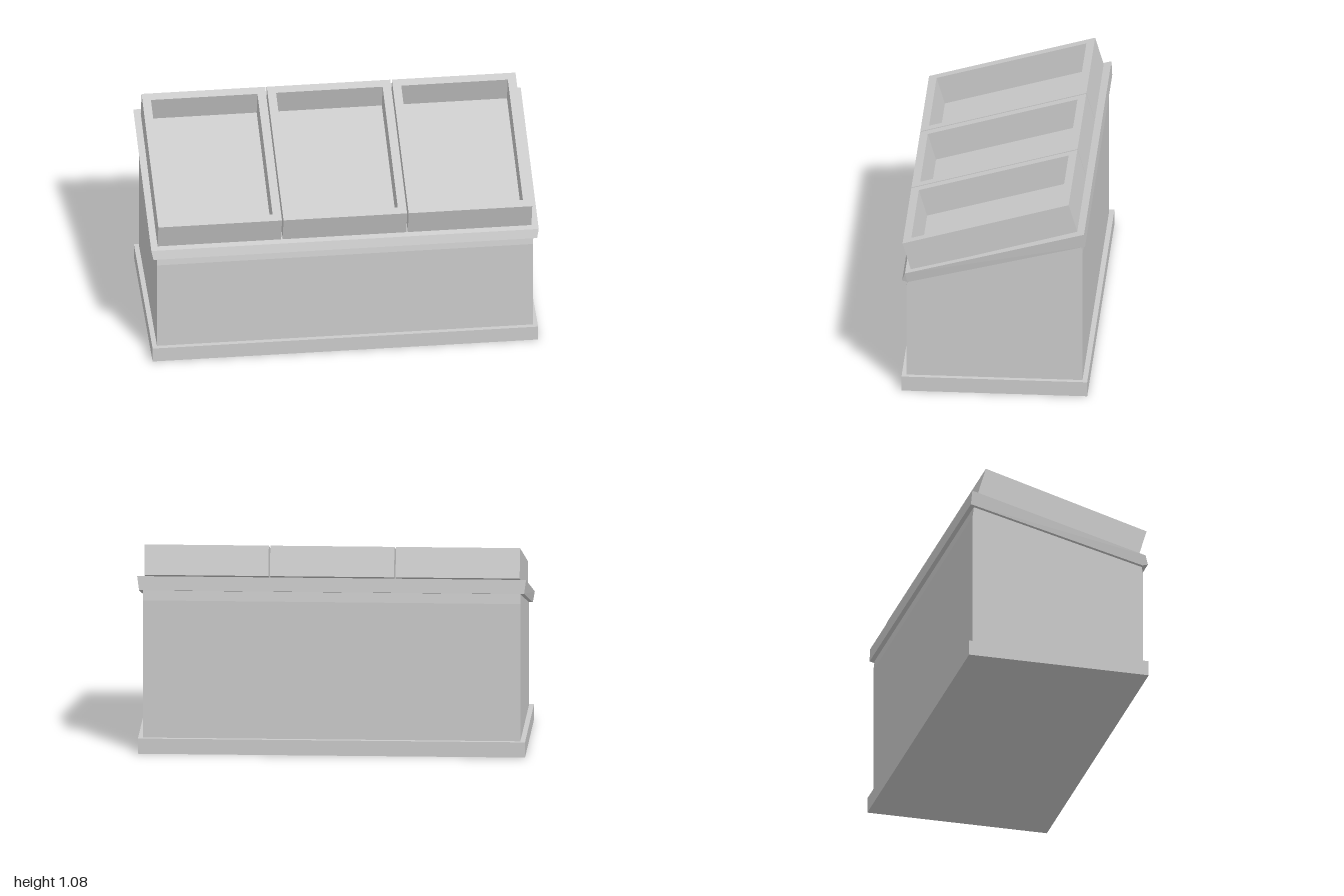
import * as THREE from 'three';

const material = new THREE.MeshStandardMaterial({ color: 0xcccccc, flatShading: true });

function addMesh(parent, name, geometry) {
  const mesh = new THREE.Mesh(geometry, material);
  mesh.name = name;
  parent.add(mesh);
  return mesh;
}

// Extrudes a side profile of [z, y] points along x, centred on x = 0
function sideProfile(points, width) {
  const shape = new THREE.Shape(points.map(([z, y]) => new THREE.Vector2(-z, y)));
  const geometry = new THREE.ExtrudeGeometry(shape, { depth: width, bevelEnabled: false });
  return geometry.translate(0, 0, -width / 2).rotateY(Math.PI / 2);
}

// Open tray: a hollow wall frame with a thin floor, bottom at y = 0
function createTray(width, height, length, wall) {
  const tray = new THREE.Group();
  const rect = (Type, w, l) => new Type([
    new THREE.Vector2(-w / 2, -l / 2), new THREE.Vector2(w / 2, -l / 2),
    new THREE.Vector2(w / 2, l / 2), new THREE.Vector2(-w / 2, l / 2),
  ]);
  const frame = rect(THREE.Shape, width, length);
  frame.holes.push(rect(THREE.Path, width - 2 * wall, length - 2 * wall));
  const walls = new THREE.ExtrudeGeometry(frame, { depth: height, bevelEnabled: false });
  addMesh(tray, 'trayWalls', walls.rotateX(-Math.PI / 2));
  const floor = new THREE.BoxGeometry(width - 2 * wall, 0.006, length - 2 * wall);
  addMesh(tray, 'trayFloor', floor.translate(0, 0.003, 0));
  return tray;
}

export function createModel() {
  const model = new THREE.Group();
  model.name = 'displayStand';

  // Plinth
  addMesh(model, 'plinth', new THREE.BoxGeometry(1.99, 0.08, 0.956).translate(0, 0.04, 0));

  // Cabinet body with sloping top and small chamfers under the counter
  addMesh(model, 'body', sideProfile([
    [0.455, 0.08], [0.455, 0.58], [0.447, 0.625],
    [-0.445, 0.86], [-0.452, 0.8], [-0.452, 0.08],
  ], 1.94));

  // Sloping counter slab, slightly narrower along its lower edge
  const counter = sideProfile([
    [0.46, 0.675], [0.475, 0.629], [0.447, 0.621], [-0.467, 0.856], [-0.462, 0.929],
  ], 2);
  const pos = counter.attributes.position;
  for (let i = 0; i < pos.count; i++) {
    const topY = 0.675 + (0.46 - pos.getZ(i)) * 0.2755;
    if (pos.getY(i) < topY - 0.02) pos.setX(i, pos.getX(i) * 0.99);
  }
  counter.computeVertexNormals();
  addMesh(model, 'counter', counter);

  // Three trays resting on the slope
  const trays = new THREE.Group();
  trays.name = 'trays';
  for (const i of [-1, 0, 1]) {
    const tray = createTray(0.638, 0.157, 0.891, 0.044);
    tray.name = ['rightTray', 'middleTray', 'leftTray'][i + 1];
    tray.position.x = i * 0.646;
    trays.add(tray);
  }
  trays.position.set(0, 0.803, 0.003);
  trays.rotation.x = Math.atan2(0.25, 0.855);
  model.add(trays);

  return model;
}
